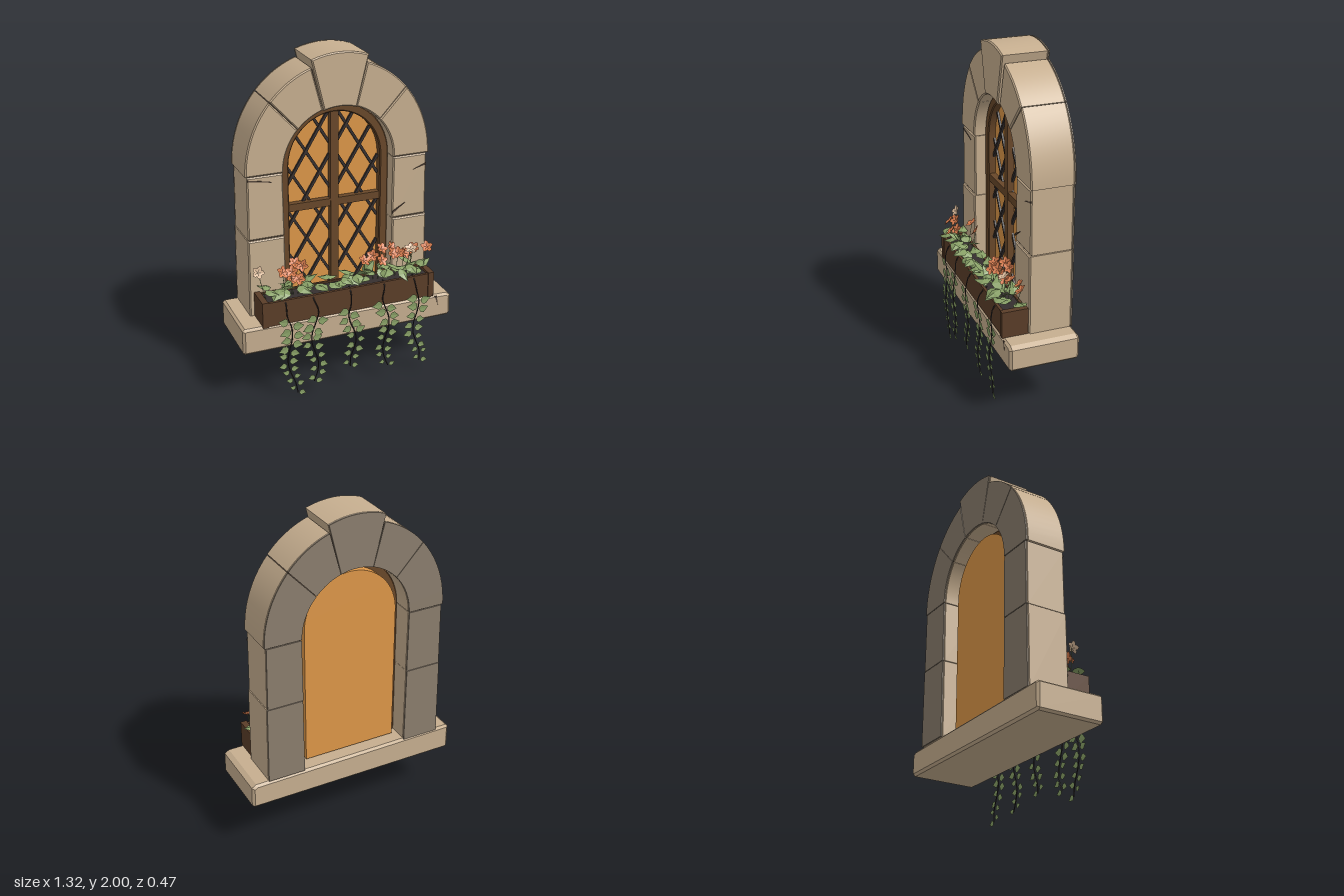
import * as THREE from 'three';
import { toCreasedNormals, mergeGeometries } from 'three/addons/utils/BufferGeometryUtils.js';

const mat = (name, color, side = THREE.FrontSide) => {
  const m = new THREE.MeshStandardMaterial({ color, side });
  m.name = name;
  return m;
};

export function createModel() {
  const M = {
    stone: mat('sandstone', 0xc6ae8f),
    back: mat('shaded stone', 0x8a7d6d),
    dark: mat('mortar', 0x54453a),
    frame: mat('frame wood', 0x684729),
    planter: mat('planter wood', 0x5a3d28),
    glass: mat('amber glass', 0xdc9648),
    lead: mat('dark lead and soil', 0x352f2f),
    leaf: mat('leaf green', 0x88a066, THREE.DoubleSide),
    flower: mat('orange petal', 0xd87c4e, THREE.DoubleSide),
    pale: mat('pale petal', 0xdcbc9c, THREE.DoubleSide),
  };
  const root = new THREE.Group();
  root.name = 'archedWindow';
  const group = (name) => {
    const g = new THREE.Group();
    g.name = name;
    root.add(g);
    return g;
  };
  const add = (parent, name, geo, material, x = 0, y = 0, z = 0) => {
    const m = new THREE.Mesh(geo, material);
    m.name = name;
    m.position.set(x, y, z);
    parent.add(m);
    return m;
  };
  const box = (parent, name, material, x0, x1, y0, y1, z0, z1) =>
    add(parent, name, new THREE.BoxGeometry(x1 - x0, y1 - y0, z1 - z0), material,
      (x0 + x1) / 2, (y0 + y1) / 2, (z0 + z1) / 2);
  const shapeOf = (pts) => new THREE.Shape(pts.map(([x, y]) => new THREE.Vector2(x, y)));
  // Extrudes a shape between two depths, with an inward bevel
  const slab = (shape, z0, z1, bevel = 0) => {
    const geo = new THREE.ExtrudeGeometry(shape, {
      depth: z1 - z0 - 2 * bevel, bevelEnabled: bevel > 0, bevelSize: bevel,
      bevelThickness: bevel, bevelOffset: -bevel, bevelSegments: 1, curveSegments: 24,
    });
    geo.translate(0, 0, z0 + bevel);
    return toCreasedNormals(geo, 0.5);
  };
  let seed = 7;
  const rnd = (a, b) => {
    seed = (seed * 16807) % 2147483647;
    return a + (b - a) * seed / 2147483647;
  };

  const CX = -0.007, CY = 1.34;
  const onArch = (rx, ry, deg) => {
    const a = deg * Math.PI / 180;
    return [CX + rx * Math.cos(a), CY + ry * Math.sin(a)];
  };
  const arc = (rx, ry, a0, a1, n = 10) =>
    Array.from({ length: n + 1 }, (_, i) => onArch(rx, ry, a0 + (a1 - a0) * i / n));
  const archPoints = (rx, ry, bottom) =>
    [[CX - rx, bottom], [CX + rx, bottom], ...arc(rx, ry, 0, 180, 32)];

  // Stone surround: jambs, voussoirs and keystone, each with a dark back face
  const surround = group('stoneSurround');
  const block = (name, pts, front) => {
    const s = shapeOf(pts);
    add(surround, name, slab(s, -0.229, front, 0.007), M.stone);
    add(surround, name + 'Back', slab(s, -0.236, -0.2285), M.back);
  };
  for (const s of [1, -1]) {
    const jamb = (y0, y1, outer, inner) => {
      const p = [[CX + s * inner, y0], [CX + s * outer, y0], [CX + s * (outer - 0.004), y1], [CX + s * (inner + 0.004), y1]];
      return s > 0 ? p : p.reverse();
    };
    block('lowerJamb', jamb(0.475, 0.951, 0.56, 0.333), 0.026);
    block('upperJamb', jamb(0.955, 1.335, 0.553, 0.335), 0.02);
    for (const [a0, a1, front] of [[0, 42.7, 0.025], [43.1, 72.8, 0.028]]) {
      const [b0, b1] = s > 0 ? [a0, a1] : [180 - a1, 180 - a0];
      block('voussoir', [...arc(0.56, 0.61, b0, b1), ...arc(0.337, 0.35, b1, b0)], front);
    }
  }
  const keyTop = Array.from({ length: 9 }, (_, i) => {
    const t = 1 - i / 4;
    return [CX + 0.17 * t, 2.0 - 0.03 * t * t];
  });
  block('keystone', [...keyTop, ...arc(0.337, 0.35, 106.8, 73.2)], 0.042);
  // Mortar behind the joints, one horseshoe outline
  const core = [[CX + 0.345, 0.48], [CX + 0.545, 0.48], ...arc(0.545, 0.595, 0, 180, 32),
    [CX - 0.545, 0.48], [CX - 0.345, 0.48], ...arc(0.345, 0.358, 180, 0, 32)];
  add(surround, 'mortarCore', slab(shapeOf(core), -0.225, 0.012), M.dark);

  // Sill slab
  const sill = group('sill');
  add(sill, 'sillStone', slab(shapeOf([[-0.66, 0.33], [-0.645, 0.318], [0.645, 0.32], [0.66, 0.335],
    [0.658, 0.455], [0.63, 0.472], [-0.645, 0.482], [-0.66, 0.47]]), -0.238, 0.18, 0.014), M.stone);

  // Thin dark cracks in the stone faces
  const cracks = [
    [0.027, [[0.33, 0.985], [0.41, 1.045], [0.33, 1.0]]],
    [0.0225, [[0.46, 1.245], [0.543, 1.265], [0.543, 1.278]]],
    [0.0225, [[-0.555, 1.315], [-0.41, 1.29], [-0.43, 1.3], [-0.555, 1.323]]],
    [0.181, [[0.55, 0.465], [0.575, 0.405], [0.565, 0.465]]],
  ];
  for (const [z, pts] of cracks) add(surround, 'crack', slab(shapeOf(pts), z - 0.006, z), M.dark);

  // Window frame, glass and glazing bars
  const win = group('window');
  const frame = shapeOf(archPoints(0.334, 0.348, 0.475));
  frame.holes.push(shapeOf(archPoints(0.282, 0.296, 0.51)));
  add(win, 'frame', slab(frame, -0.11, -0.045, 0.006), M.frame);
  add(win, 'glass', slab(shapeOf(archPoints(0.288, 0.302, 0.495)), -0.165, -0.09), M.glass);
  box(win, 'mullion', M.frame, CX - 0.025, CX + 0.025, 0.5, 1.645, -0.1, -0.05);
  box(win, 'crossbar', M.frame, CX - 0.29, CX + 0.29, 1.062, 1.108, -0.1, -0.052);

  // Diagonal lead lattice, each bar trimmed to the arched opening
  const inside = (x, y) => Math.abs(x) < 0.285 && y > 0.5 && (y < CY || (x / 0.285) ** 2 + ((y - CY) / 0.3) ** 2 < 1);
  const slope = 0.27 / 0.165;
  for (const s of [1, -1]) {
    for (let k = -5; k <= 5; k++) {
      const lineY = (x) => 1.14 + k * 0.27 + s * slope * x;
      const xs = [];
      for (let x = -0.285; x <= 0.285; x += 0.003) if (inside(x, lineY(x))) xs.push(x);
      if (xs.length < 6) continue;
      const a = xs[0], b = xs[xs.length - 1], mid = (a + b) / 2;
      const bar = add(win, 'leadBar', new THREE.BoxGeometry((b - a) * Math.hypot(1, slope), 0.016, 0.014),
        M.lead, CX + mid, lineY(mid), -0.084 + s * 0.002);
      bar.rotation.z = s * Math.atan(slope);
    }
  }

  // Planter box and soil
  const planter = group('planter');
  box(planter, 'frontBoard', M.planter, -0.51, 0.51, 0.475, 0.625, 0.158, 0.175);
  box(planter, 'backBoard', M.planter, -0.51, 0.51, 0.475, 0.625, 0.028, 0.042);
  for (const s of [1, -1]) {
    const x = s * 0.522;
    box(planter, 'endBoard', M.planter, x - 0.018, x + 0.018, 0.472, 0.632, 0.025, 0.181);
  }
  box(planter, 'soil', M.lead, -0.505, 0.505, 0.48, 0.615, 0.04, 0.16);

  // Folded leaf or petal, unit length along +y, from half its outline
  const folded = (half) => {
    const tri = [];
    for (const s of [1, -1]) {
      for (let i = 0; i < half.length - 1; i++) {
        const lift = (j) => (j > 0 && j < half.length - 1 ? 0.07 : 0);
        const p = [s * half[i][0], half[i][1], lift(i)];
        const q = [s * half[i + 1][0], half[i + 1][1], lift(i + 1)];
        tri.push(0, 0.42, -0.05, ...(s > 0 ? [...p, ...q] : [...q, ...p]));
      }
    }
    const geo = new THREE.BufferGeometry();
    geo.setAttribute('position', new THREE.Float32BufferAttribute(tri, 3));
    geo.computeVertexNormals();
    return geo;
  };
  const leafGeo = folded([[0, 0], [0.28, 0.1], [0.42, 0.4], [0.24, 0.65], [0, 1]]);
  const leaf = (parent, size, x, y, z, yaw, tilt, roll = 0, fold = 1) => {
    const m = add(parent, 'leaf', leafGeo, M.leaf, x, y, z);
    m.scale.set(size, size, size * fold);
    m.rotation.set(tilt, yaw, roll, 'YXZ');
  };

  // Foliage in the box: front row droops over the board, back rows stand up
  const foliage = group('foliage');
  for (let i = 0; i < 48; i++) {
    const x = -0.49 + 0.98 * i / 47 + rnd(-0.015, 0.015);
    const row = i % 3;
    const yaw = row === 0 ? rnd(-0.9, 0.9) : row === 1 ? rnd(-1.7, 1.7) : rnd(1.2, 2.0) * (i % 2 ? 1 : -1);
    const tilt = row === 0 ? rnd(1.5, 2.3) : rnd(0.8, 1.7);
    leaf(foliage, rnd(0.08, 0.11), x, row === 0 ? rnd(0.655, 0.7) : rnd(0.64, 0.68),
      [0.135, 0.11, 0.075][row] + rnd(-0.01, 0.01), yaw, tilt, rnd(-0.3, 0.3));
  }

  // Flowers: five broad petals on thin stems
  const petalGeo = folded([[0, 0], [0.33, 0.4], [0.3, 0.75], [0, 1]]);
  const petals = [];
  for (let i = 0; i < 5; i++) {
    const p = petalGeo.clone();
    p.scale(0.042, 0.042, 0.042);
    p.rotateX(0.3);
    p.rotateZ(i * Math.PI * 0.4);
    petals.push(p);
  }
  const flowerGeo = mergeGeometries(petals);
  const flowers = group('flowers');
  const spots = [
    [-0.53, 0.78, 0.08, 1], [-0.40, 0.78, 0.13], [-0.36, 0.80, 0.18], [-0.32, 0.75, 0.185], [-0.30, 0.79, 0.06],
    [-0.35, 0.74, 0.14], [-0.25, 0.76, 0.05], [0.13, 0.73, 0.07], [0.19, 0.75, 0.06], [0.25, 0.78, 0.05],
    [0.22, 0.74, 0.12], [0.29, 0.77, 0.11], [0.34, 0.76, 0.10], [0.31, 0.78, 0.05], [0.41, 0.78, 0.12, 1],
    [0.38, 0.75, 0.10], [0.44, 0.77, 0.09], [0.45, 0.74, 0.04], [0.54, 0.75, 0.07],
  ];
  for (const [x, y, z, pale] of spots) {
    const f = add(flowers, 'flower', flowerGeo, pale ? M.pale : M.flower, x, y, z);
    f.rotation.set(rnd(-1.15, -0.5), rnd(-0.6, 0.6), rnd(0, 1.2), 'YXZ');
    const foot = new THREE.Vector3(x * 0.93, 0.61, 0.1);
    const stem = new THREE.LineCurve3(foot, new THREE.Vector3(x, y, z));
    add(flowers, 'flowerStem', new THREE.TubeGeometry(stem, 1, 0.0018, 4), M.leaf);
  }

  // Trailing vines with leaves that shrink toward the tip
  const vines = group('vines');
  const trails = [[-0.40, -0.365, 0.015], [-0.23, -0.235, 0.07], [0.0, 0.01, 0.12], [0.215, 0.225, 0.07], [0.41, 0.43, 0.06]];
  trails.forEach(([x0, x1, end], v) => {
    const pts = [new THREE.Vector3(x0, 0.63, 0.15), new THREE.Vector3(x0, 0.6, 0.185)];
    for (let i = 0; i <= 7; i++) {
      const t = i / 7;
      const sway = 0.022 * Math.sin(t * 8 + v * 1.7);
      pts.push(new THREE.Vector3(x0 + (x1 - x0) * t + sway, 0.53 + (end - 0.53) * t, 0.203));
    }
    const curve = new THREE.CatmullRomCurve3(pts);
    add(vines, 'vineStem', new THREE.TubeGeometry(curve, 28, 0.0035, 5), M.lead);
    const n = Math.round((0.5 - end) / 0.027);
    for (let i = 0; i < n; i++) {
      const t = 0.28 + 0.71 * i / (n - 1);
      const p = curve.getPoint(t);
      const s = i % 2 ? 1 : -1;
      leaf(vines, 0.08 - 0.04 * t + rnd(-0.006, 0.006), p.x + s * 0.01, p.y, 0.206, 0, 0, -s * rnd(1.2, 2.1), 0.35);
    }
  });
  return root;
}
